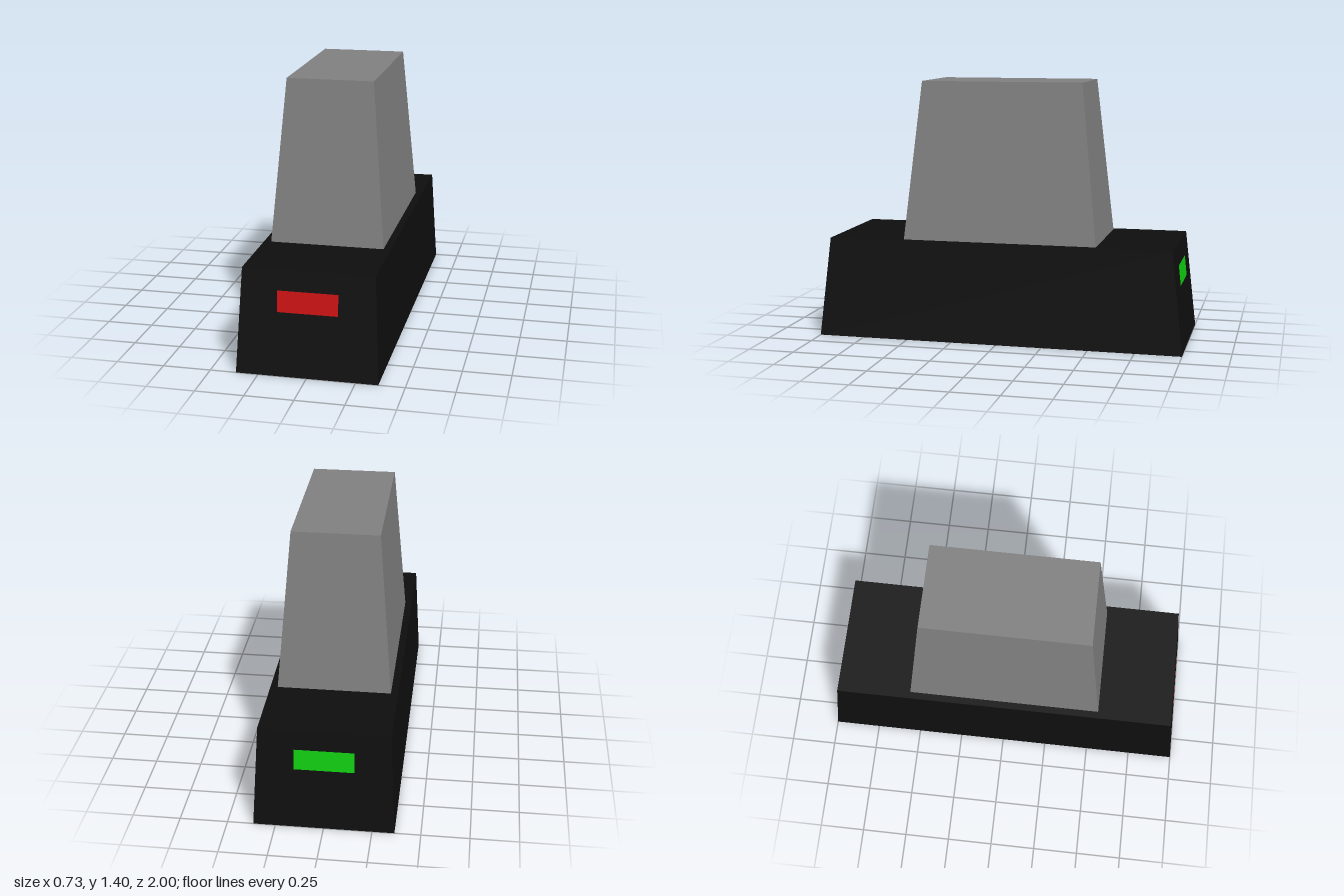
import * as THREE from 'three';

const material = (name, color) => {
  const m = new THREE.MeshStandardMaterial({ color });
  m.name = name;
  return m;
};

// Box that narrows from [halfWidth, halfDepth] at y0 to another pair at y1
function taperedBlock(name, y0, [bottomX, bottomZ], y1, [topX, topZ], mat) {
  const geometry = new THREE.BoxGeometry(2, 1, 2);
  const p = geometry.attributes.position;
  for (let i = 0; i < p.count; i++) {
    const top = p.getY(i) > 0;
    p.setXYZ(i, p.getX(i) * (top ? topX : bottomX), top ? y1 : y0, p.getZ(i) * (top ? topZ : bottomZ));
  }
  geometry.computeVertexNormals();
  const mesh = new THREE.Mesh(geometry, mat);
  mesh.name = name;
  return mesh;
}

export function createModel() {
  const black = material('black', 0x0e0e0e);
  const grey = material('grey', 0x808080);
  const red = material('red', 0xcc0e0e);
  const green = material('green', 0x0ecc0e);

  const model = new THREE.Group();
  model.name = 'taperedBlockWithLights';

  // Long base and the taller block standing on it
  const baseHeight = 0.545, bottomZ = 1, topZ = 0.94;
  model.add(
    taperedBlock('base', 0, [0.365, bottomZ], baseHeight, [0.338, topZ], black),
    taperedBlock('upperBlock', baseHeight, [0.3, 0.53], 1.405, [0.228, 0.44], grey),
  );

  // Coloured lights lying on the sloped end faces
  const tilt = Math.atan((bottomZ - topZ) / baseHeight);
  const lightY = 0.385;
  const lightZ = bottomZ - lightY * Math.tan(tilt) + 0.002;
  for (const [name, mat, turn] of [['frontLight', red, 0], ['backLight', green, Math.PI]]) {
    const geometry = new THREE.PlaneGeometry(0.31, 0.11 / Math.cos(tilt));
    geometry.rotateX(-tilt).translate(0, lightY, lightZ).rotateY(turn);
    const light = new THREE.Mesh(geometry, mat);
    light.name = name;
    model.add(light);
  }
  return model;
}
